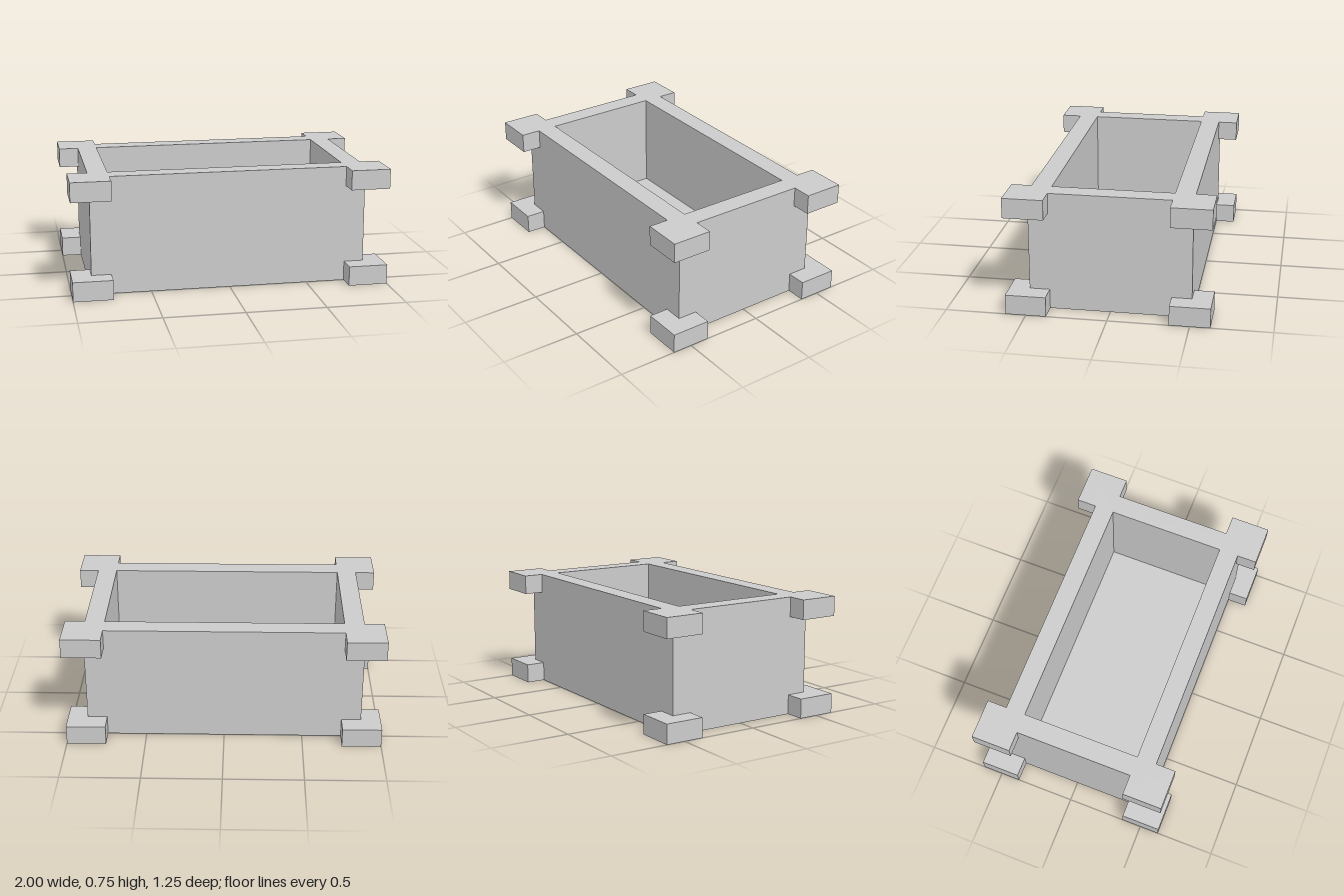
import * as THREE from 'three';

const material = new THREE.MeshStandardMaterial({ color: 0xcccccc, flatShading: true });

const T = 0.125;   // wall, floor and bracket thickness
const HX = 0.875;  // half length of the body
const HZ = 0.5;    // half depth of the body
const H = 0.75;    // full height

// Corners of a centred rectangle, counter-clockwise
const rect = (x, z) => [[-x, -z], [x, -z], [x, z], [-x, z]].map(p => new THREE.Vector2(...p));

// Extrude a plan outline straight up from y = 0
function extrudeUp(shape, height) {
  return new THREE.ExtrudeGeometry(shape, { depth: height, bevelEnabled: false }).rotateX(-Math.PI / 2);
}

function addPart(parent, name, geometry, x = 0, y = 0, z = 0) {
  const mesh = new THREE.Mesh(geometry, material);
  mesh.name = name;
  mesh.position.set(x, y, z);
  parent.add(mesh);
  return mesh;
}

export function createModel() {
  const model = new THREE.Group();
  model.name = 'openBox';

  // Floor slab and the four walls around the open cavity
  addPart(model, 'floor', new THREE.BoxGeometry(2 * HX, T, 2 * HZ), 0, T / 2, 0);
  const wallShape = new THREE.Shape(rect(HX, HZ));
  wallShape.holes.push(new THREE.Path(rect(HX - T, HZ - T)));
  addPart(model, 'walls', extrudeUp(wallShape, H - T), 0, T, 0);

  // L-shaped brackets wrapping each corner, flush with the base and the rim
  const bracketShape = new THREE.Shape(
    [[0, 0], [0, -T], [T, -T], [T, T], [-T, T], [-T, 0]].map(p => new THREE.Vector2(...p))
  );
  const bracket = extrudeUp(bracketShape, T);
  const corners = [['BackLeft', 1, -1], ['BackRight', -1, -1], ['FrontRight', -1, 1], ['FrontLeft', 1, 1]];
  for (const [level, y] of [['foot', 0], ['rimCorner', H - T]]) {
    corners.forEach(([corner, sx, sz], i) => {
      addPart(model, level + corner, bracket, sx * HX, y, sz * HZ).rotation.y = i * Math.PI / 2;
    });
  }
  return model;
}
